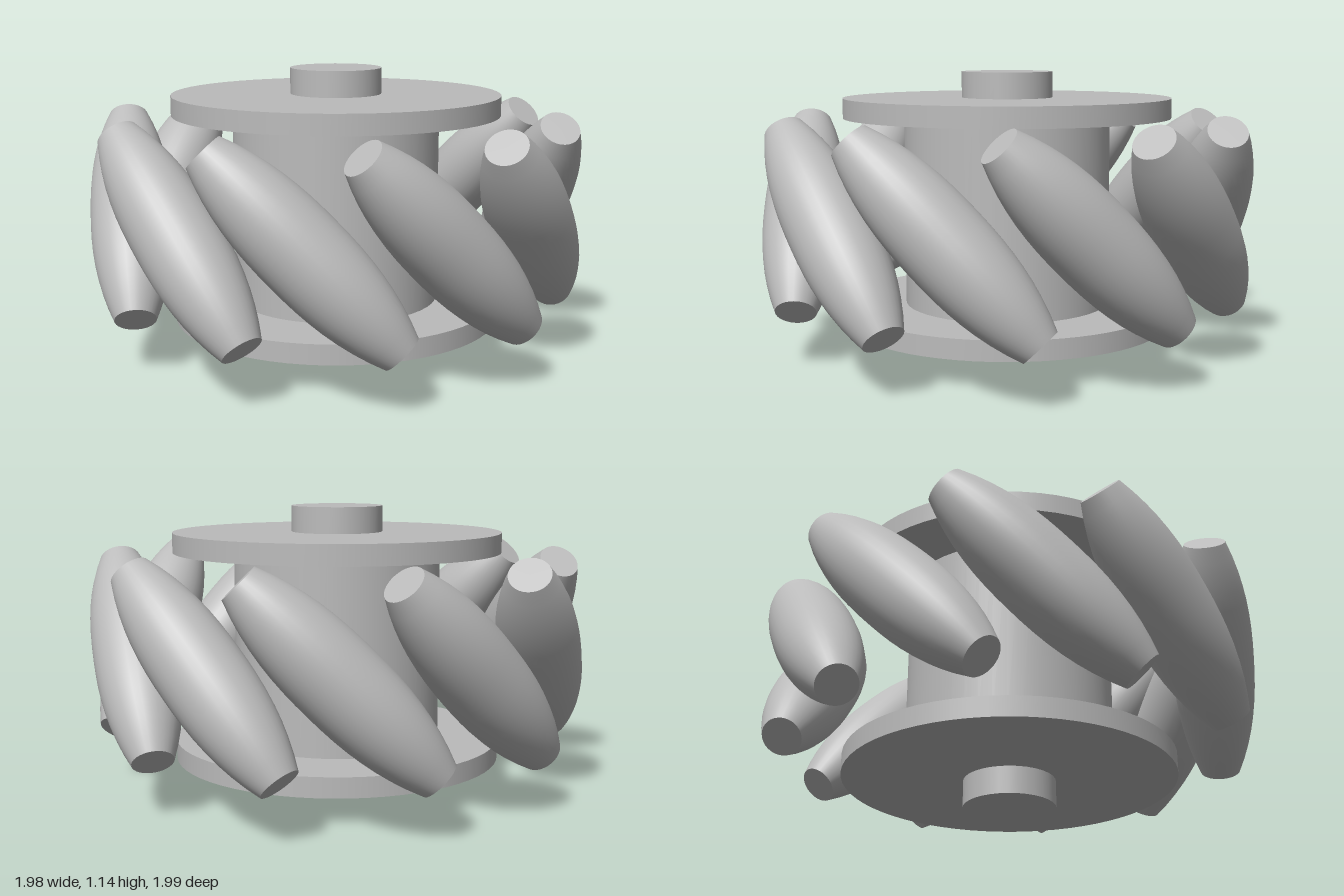
import * as THREE from 'three';
import { mergeGeometries } from 'three/addons/utils/BufferGeometryUtils.js';

const ROLLERS = 10;
const MID_Y = 0.572;

// Barrel-shaped roller along y, with flat ends
function rollerGeometry(half, midR, endR) {
  const profile = [];
  for (let i = 0; i <= 16; i++) {
    const s = i / 8 - 1;
    profile.push(new THREE.Vector2(midR - (midR - endR) * Math.abs(s) ** 2.4, s * half));
  }
  const barrel = new THREE.LatheGeometry(profile, 32);
  const top = new THREE.CircleGeometry(endR, 32).rotateX(-Math.PI / 2).translate(0, half, 0);
  const bottom = new THREE.CircleGeometry(endR, 32).rotateX(Math.PI / 2).translate(0, -half, 0);
  return mergeGeometries([barrel, top, bottom]);
}

export function createModel() {
  const wheel = new THREE.Group();
  wheel.name = 'rollerWheel';
  const grey = new THREE.MeshStandardMaterial({ color: 0xbbbbbb });
  grey.name = 'grey';

  // Upright disc or drum between two heights
  const disc = (name, radius, y0, y1, sides) => {
    const mesh = new THREE.Mesh(new THREE.CylinderGeometry(radius, radius, y1 - y0, sides), grey);
    mesh.position.y = (y0 + y1) / 2;
    mesh.name = name;
    wheel.add(mesh);
  };

  // Hub, flanges and axle stubs
  disc('hubDrum', 0.42, 0.19, 0.955, 48);
  disc('lowerFlange', 0.667, 0.11, 0.19, 64);
  disc('upperFlange', 0.667, 0.955, 1.035, 64);
  disc('lowerAxle', 0.185, 0, 0.11, 32);
  disc('upperAxle', 0.185, 1.035, 1.14, 32);

  // Ring of rollers, each leaning 45 degrees
  const geometry = rollerGeometry(0.488, 0.163, 0.08);
  for (let i = 0; i < ROLLERS; i++) {
    const mount = new THREE.Group();
    mount.name = 'rollerMount';
    mount.rotation.y = (i / ROLLERS) * Math.PI * 2;
    const roller = new THREE.Mesh(geometry, grey);
    roller.name = 'roller';
    roller.position.set(0, MID_Y, 0.833);
    roller.rotation.z = Math.PI / 4;
    mount.add(roller);
    wheel.add(mount);
  }
  return wheel;
}
